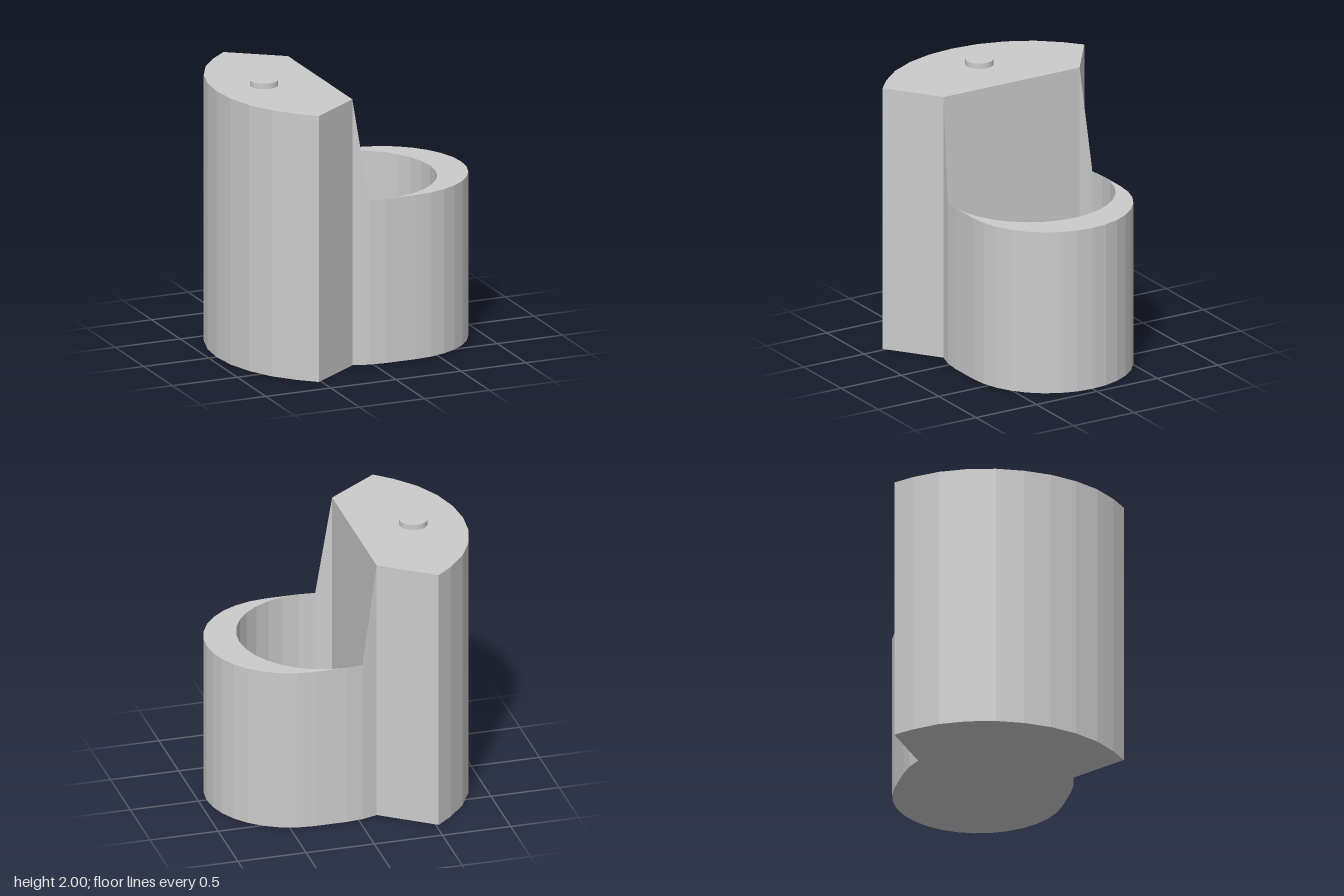
import * as THREE from 'three';

const R = 0.61;          // cup radius
const BORE_X = 0.09;     // centre of the bore
const RIM_X = 0.33;      // centre of the outer rounding
const FLOOR = 0.12, RIM = 1.21, TOP = 1.96;
const STEP = Math.PI / 16;

// Points along a 32-sided circle, from step a to step b
function arc(cx, a, b) {
  const pts = [];
  const dir = Math.sign(b - a);
  for (let i = a; i !== b + dir; i += dir) {
    pts.push(new THREE.Vector2(cx + R * Math.cos(i * STEP), R * Math.sin(i * STEP)));
  }
  return pts;
}

// Upright prism from a plan outline
function prism(name, points, y0, y1, material) {
  const geo = new THREE.ExtrudeGeometry(new THREE.Shape(points), { depth: y1 - y0, bevelEnabled: false });
  geo.rotateX(-Math.PI / 2).translate(0, y0, 0);
  const mesh = new THREE.Mesh(geo, material);
  mesh.name = name;
  return mesh;
}

export function createModel() {
  const group = new THREE.Group();
  group.name = 'holder';
  const grey = new THREE.MeshStandardMaterial({ color: 0xcccccc, flatShading: true });
  const thin = new THREE.MeshStandardMaterial({ color: 0xcccccc, flatShading: true, side: THREE.DoubleSide });

  // Tall block with a faceted curved back
  const half = [[-0.143, 0.563], [-0.52, 0.835], [-0.64, 0.73], [-0.77, 0.577], [-0.865, 0.396], [-0.922, 0.2]];
  const plan = [...half, [-0.94, 0], ...half.slice().reverse().map(([x, z]) => [x, -z])];
  group.add(prism('tallBlock', plan.map(([x, z]) => new THREE.Vector2(x, z)), 0, TOP, grey));

  // Cup floor and crescent-shaped wall
  const outer = arc(RIM_X, -8, 8);
  group.add(prism('cupFloor', [...outer, ...arc(BORE_X, 8, 10), ...arc(BORE_X, -10, -8)], 0, FLOOR, grey));
  group.add(prism('cupWall', [...outer, ...arc(BORE_X, 8, -8)], FLOOR, RIM, grey));

  // Thin side walls joining cup and block, each with a sloping fin
  for (const side of [1, -1]) {
    const [a, b, c] = arc(BORE_X, 8, 10).map((p) => [p.x, p.y * side]);
    const at = ([x, z], y) => [x, y, z];
    const quad = (p, q) => [at(p, FLOOR), at(q, RIM), at(q, FLOOR), at(p, FLOOR), at(p, RIM), at(q, RIM)];
    const tris = [...quad(a, b), ...quad(b, c), at(b, RIM), at(c, TOP), at(c, RIM)];
    const geo = new THREE.BufferGeometry();
    geo.setAttribute('position', new THREE.Float32BufferAttribute(tris.flat(), 3));
    // Keep the outward winding on both sides
    if (side > 0) {
      const order = [];
      for (let i = 0; i < tris.length; i += 3) order.push(i, i + 2, i + 1);
      geo.setIndex(order);
    }
    geo.computeVertexNormals();
    const mesh = new THREE.Mesh(geo, thin);
    mesh.name = side > 0 ? 'frontSideWall' : 'backSideWall';
    group.add(mesh);
  }

  // Small round button on top
  const button = new THREE.Mesh(new THREE.CylinderGeometry(0.1, 0.1, 0.05, 32), grey);
  button.position.set(-0.575, 1.975, 0);
  button.name = 'topButton';
  group.add(button);

  return group;
}
